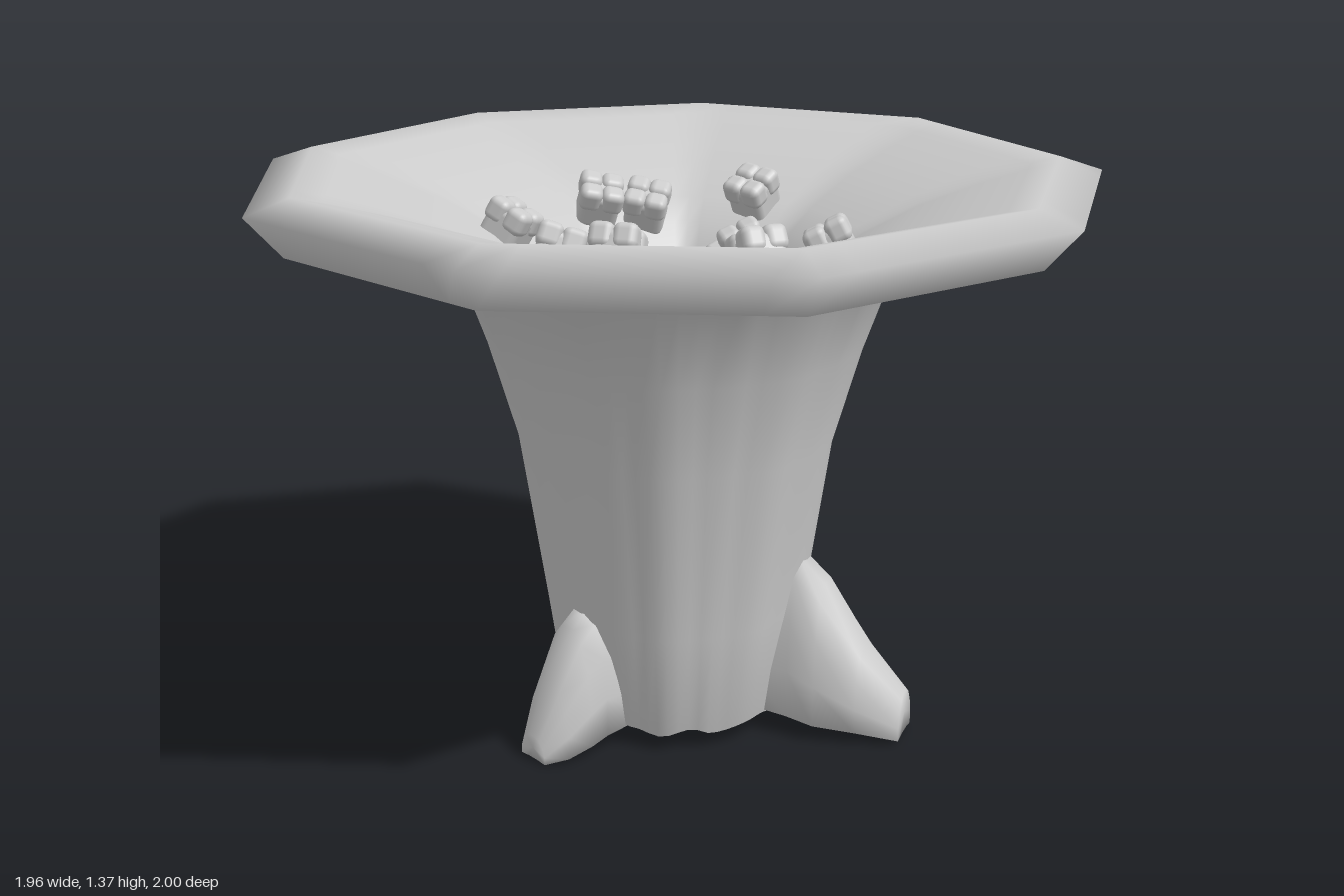
import * as THREE from 'three';
import { RoundedBoxGeometry } from 'three/addons/geometries/RoundedBoxGeometry.js';
import { mergeGeometries } from 'three/addons/utils/BufferGeometryUtils.js';

const material = new THREE.MeshStandardMaterial({ color: 0xcccccc });
const CX = -0.03; // centre of the nine-sided body

// Skin a list of closed rings of [x, y, z] points.
function loft(rings) {
  const n = rings[0].length;
  const index = [];
  for (let i = 0; i < rings.length - 1; i++) {
    for (let j = 0; j < n; j++) {
      const a = i * n + j, b = i * n + (j + 1) % n;
      index.push(a, a + n, b, b, a + n, b + n);
    }
  }
  const geometry = new THREE.BufferGeometry();
  geometry.setAttribute('position', new THREE.Float32BufferAttribute(rings.flat(2), 3));
  geometry.setIndex(index);
  geometry.computeVertexNormals();
  return geometry;
}

// Ring with nine sides; bulge pushes the middle of each side outward.
function nineSided(r, y, bulge = 0, ragged = 0) {
  const ring = [], n = 72, step = Math.PI * 2 / 9;
  for (let j = 0; j < n; j++) {
    const t = j / n * Math.PI * 2;
    const side = Math.cos(step / 2) / Math.cos((t % step) - step / 2);
    const rr = r * side * (1 + bulge * (0.5 - 0.5 * Math.cos(t * 9)));
    ring.push([CX + rr * Math.cos(t), y + ragged * Math.sin(t * 9 + Math.sin(t * 4)), rr * Math.sin(t)]);
  }
  return ring;
}

// Inside of the funnel: radius, height
const throat = [[0.84, 1.35], [0.72, 1.315], [0.58, 1.265], [0.45, 1.2], [0.38, 1.15], [0.33, 1.09],
  [0.28, 0.99], [0.24, 0.87], [0.2, 0.6], [0.15, 0.4], [0, 0.33]];

function throatHeight(r) {
  const i = throat.findIndex(([radius]) => radius <= r);
  const [r0, y0] = throat[i - 1], [r1, y1] = throat[i];
  return y0 + (y1 - y0) * (r0 - r) / (r0 - r1);
}

// Radial root; sections hold distance, top, half width, bottom.
function rootGeometry(sections) {
  const outline = [[1, 0], [1, 0.3], [0.85, 0.62], [0.55, 0.88], [0.22, 0.99],
    [-0.22, 0.99], [-0.55, 0.88], [-0.85, 0.62], [-1, 0.3], [-1, 0], [-0.4, 0.04], [0.4, 0.04]];
  const rings = sections.map(([u, top, w, bottom]) =>
    outline.map(([z, y]) => [u, bottom + y * (top - bottom), z * w]));
  const [u, top, , bottom] = sections[sections.length - 1];
  rings.push(outline.map(() => [u, (top + bottom) / 2, 0]));
  return loft(rings);
}

// Block with four cusps on its upper end
function toothGeometry() {
  const parts = [new RoundedBoxGeometry(0.1, 0.1, 0.1, 2, 0.02)];
  for (const x of [-1, 1]) for (const z of [-1, 1]) {
    const cusp = new RoundedBoxGeometry(0.056, 0.06, 0.056, 2, 0.018);
    parts.push(cusp.translate(x * 0.027, 0.034, z * 0.027));
  }
  return mergeGeometries(parts);
}

export function createModel() {
  const model = new THREE.Group();
  const add = (name, geometry, parent = model) => {
    const mesh = new THREE.Mesh(geometry, material);
    mesh.name = name;
    parent.add(mesh);
    return mesh;
  };

  // Trunk with its folded base and hollow underside
  add('trunk', loft([
    nineSided(0, 0.12), nineSided(0.14, 0.1, -0.2, 0.01), nineSided(0.24, 0.055, 0.06, 0.01),
    nineSided(0.275, 0.045, 0.09, 0.008), nineSided(0.31, 0.3, 0.09), nineSided(0.373, 0.72, 0.085),
    nineSided(0.44, 0.95, 0.08), nineSided(0.515, 1.15, 0.07), nineSided(0.6, 1.195, 0.04),
    nineSided(0.72, 1.242), nineSided(0.85, 1.29),
  ]));

  // Rim and the funnel inside it
  add('rim', loft([nineSided(0.85, 1.29), nineSided(0.93, 1.237)]));
  add('funnel', loft([
    nineSided(0.93, 1.237), nineSided(1.013, 1.332), nineSided(0.91, 1.366),
    ...throat.map(([r, y]) => nineSided(r, y)),
  ]));

  // Three roots around the base
  const roots = [
    ['leftRoot', 27, [[0.18, 0.41, 0.09, 0.06], [0.29, 0.445, 0.1, 0.05], [0.36, 0.38, 0.11, 0.04],
      [0.46, 0.23, 0.09, 0.03], [0.56, 0.12, 0.055, 0.01]]],
    ['rightRoot', 145, [[0.18, 0.32, 0.09, 0.06], [0.33, 0.355, 0.085, 0.04], [0.38, 0.31, 0.09, 0.03],
      [0.44, 0.19, 0.075, 0.01], [0.49, 0.06, 0.045, 0]]],
    ['backRoot', 256, [[0.18, 0.32, 0.09, 0.06], [0.33, 0.32, 0.1, 0.045], [0.42, 0.28, 0.1, 0.04],
      [0.51, 0.21, 0.08, 0.03], [0.575, 0.16, 0.055, 0.03]]],
  ];
  for (const [name, angle, sections] of roots) {
    add(name, rootGeometry(sections)).rotation.y = -THREE.MathUtils.degToRad(angle);
  }

  // Teeth on the funnel wall, leaning toward its axis
  const teeth = new THREE.Group();
  teeth.name = 'teeth';
  model.add(teeth);
  const spots = [[-0.19, -0.36], [-0.07, -0.37], [-0.03, -0.27], [0.2, -0.34], [0.1, -0.25], [0.17, -0.24],
    [-0.24, -0.22], [-0.22, -0.15], [-0.42, -0.07], [-0.33, 0.01], [-0.24, 0.08], [-0.3, 0.15],
    [-0.32, 0.31], [-0.2, 0.43], [-0.12, 0.28], [-0.09, 0.23], [0.11, 0.41], [0.17, 0.27],
    [0.32, 0.14], [0.25, 0.02], [0.22, -0.1], [0.17, 0.1], [0.21, 0.13]];
  const tooth = toothGeometry();
  const up = new THREE.Vector3(0, 1, 0);
  spots.forEach(([x, z], i) => {
    const r = Math.hypot(x - CX, z);
    const mesh = add('tooth', tooth, teeth);
    mesh.position.set(x, throatHeight(r) + 0.045, z);
    const lean = new THREE.Vector3((CX - x) / r * 0.55, 1, -z / r * 0.55).normalize();
    mesh.quaternion.setFromUnitVectors(up, lean);
    mesh.rotateY(i * 1.3);
  });
  return model;
}
